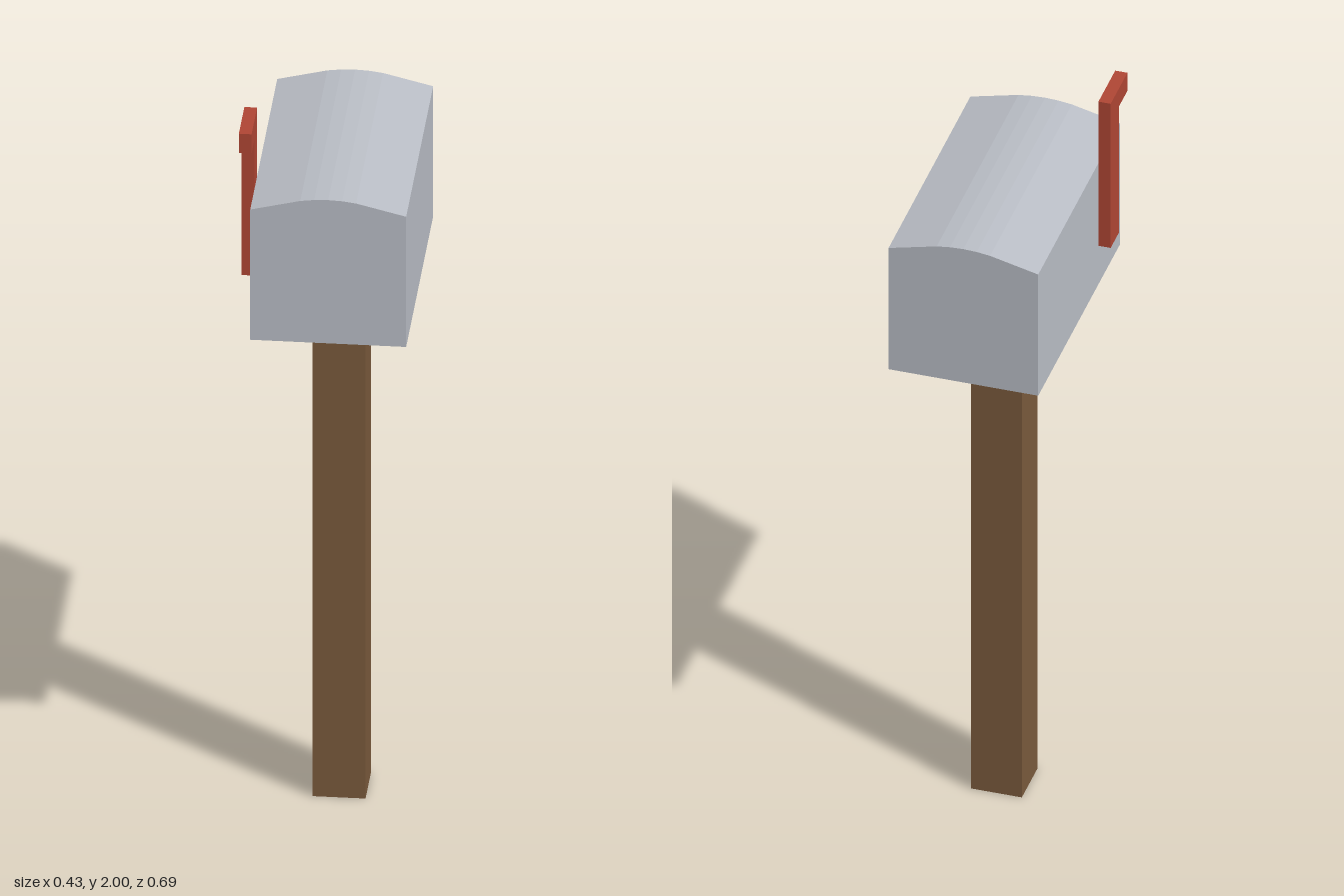
import * as THREE from 'three';

const wood = new THREE.MeshStandardMaterial({ name: 'brown wood', color: 0x7a5a3c });
const metal = new THREE.MeshStandardMaterial({ name: 'grey metal', color: 0xbabec6 });
const red = new THREE.MeshStandardMaterial({ name: 'red flag paint', color: 0xb04634 });

const AXIS_X = 0.016; // post and box share this axis; the flag sits off to one side

// Extrudes an outline along z, centred on its depth
function extrude(points, depth) {
  const shape = new THREE.Shape(points.map(([x, y]) => new THREE.Vector2(x, y)));
  return new THREE.ExtrudeGeometry(shape, { depth, bevelEnabled: false }).translate(0, 0, -depth / 2);
}

function addPart(group, name, geometry, material, x, y, z) {
  const mesh = new THREE.Mesh(geometry, material);
  mesh.name = name;
  mesh.position.set(x, y, z);
  group.add(mesh);
  return mesh;
}

export function createModel() {
  const group = new THREE.Group();
  group.name = 'mailbox';

  // Square post
  addPart(group, 'post', new THREE.BoxGeometry(0.133, 1.44, 0.133), wood, AXIS_X, 0.72, 0);

  // Box with a gently crowned roof
  const half = 0.196, wall = 0.37;
  const crown = [[0.07, 0.401], [0.035, 0.4055], [0, 0.407]];
  const outline = [
    [-half, 0], [half, 0], [half, wall],
    ...crown,
    ...crown.slice(0, 2).reverse().map(([x, y]) => [-x, y]),
    [-half, wall],
  ];
  addPart(group, 'box', extrude(outline, 0.692), metal, AXIS_X, 1.44, 0);

  // Raised flag on the right wall: an upright with a tab pointing forward
  const flagOutline = [
    [0.16, 1.56], [0.23, 1.56], [0.23, 1.945], [0.302, 1.945], [0.302, 2], [0.16, 2],
  ];
  const flag = addPart(group, 'flag', extrude(flagOutline, 0.032), red, -0.197, 0, 0);
  flag.rotation.y = -Math.PI / 2;

  return group;
}
